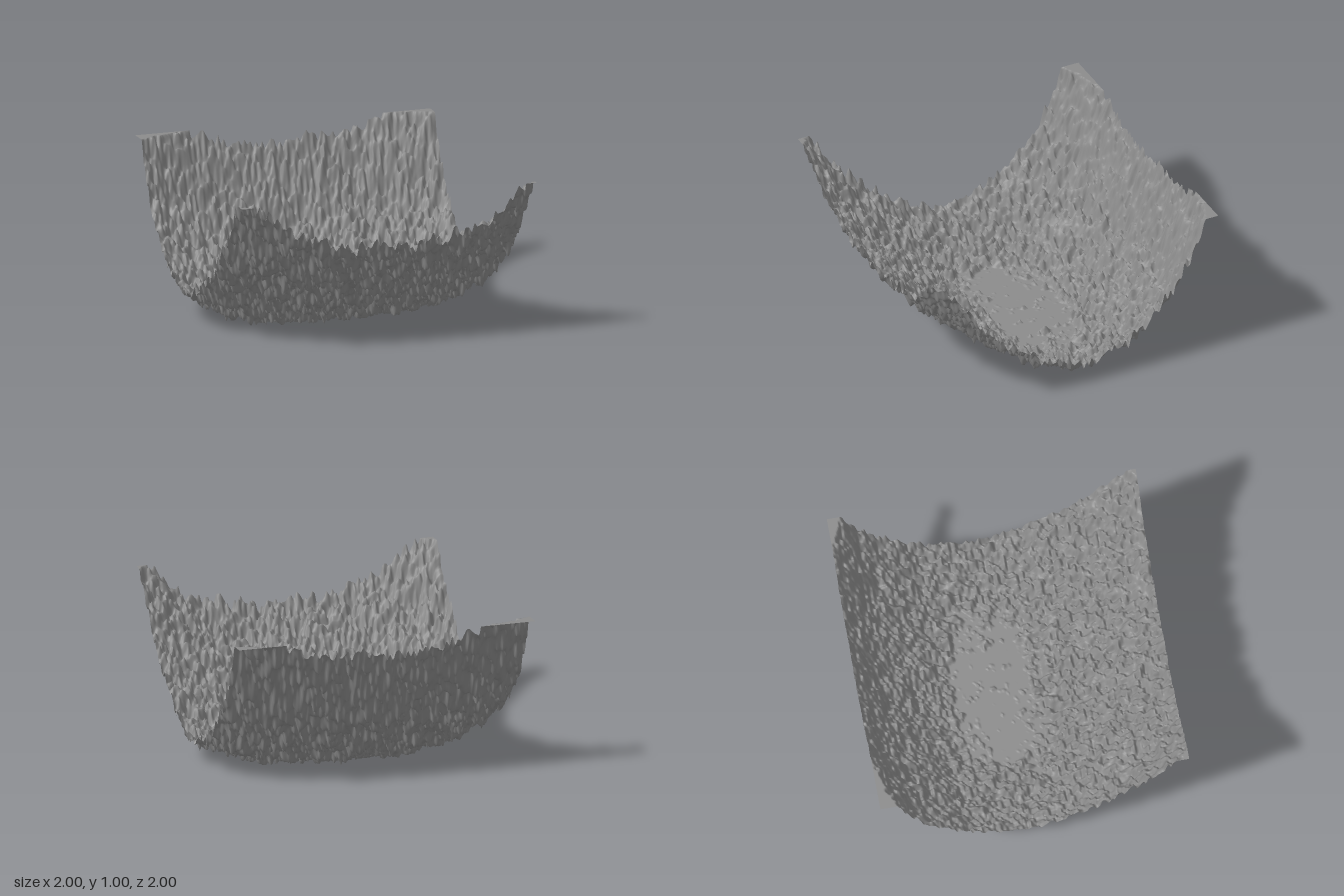
import * as THREE from 'three';

// Valley cross-section sampled every 0.2 from the back (z = -1) to the front (z = 1)
const VALLEY = [0.87, 0.43, 0.18, 0.03, -0.03, -0.035, 0.01, 0.14, 0.28, 0.46, 0.66];

// Repeatable hash of a lattice point, in -1..1
function hash(i, j, seed) {
  let n = Math.imul(i, 374761393) + Math.imul(j, 668265263) + Math.imul(seed, 974634757);
  n = Math.imul(n ^ (n >>> 13), 1274126177);
  n = Math.imul(n ^ (n >>> 16), 2246822519);
  return ((n ^ (n >>> 15)) >>> 0) / 2147483648 - 1;
}

// Smooth value noise with the given cell size
function noise(x, z, cell, seed) {
  const u = x / cell, v = z / cell;
  const i = Math.floor(u), j = Math.floor(v);
  const s = THREE.MathUtils.smoothstep(u - i, 0, 1);
  const t = THREE.MathUtils.smoothstep(v - j, 0, 1);
  const { lerp } = THREE.MathUtils;
  return lerp(
    lerp(hash(i, j, seed), hash(i + 1, j, seed), s),
    lerp(hash(i, j + 1, seed), hash(i + 1, j + 1, seed), s), t);
}

// Smooth interpolation through the valley samples
function valley(z) {
  const p = (z + 1) * 5;
  const i = Math.min(Math.floor(p), 9), t = p - i;
  const at = k => k < 0 ? 2 * VALLEY[0] - VALLEY[1] : k > 10 ? 2 * VALLEY[10] - VALLEY[9] : VALLEY[k];
  const a = at(i - 1), b = at(i), c = at(i + 1), d = at(i + 2);
  return b + 0.5 * t * (c - a + t * (2 * a - 5 * b + 4 * c - d + t * (3 * (b - c) + d - a)));
}

// Valley, rising sides and rough relief, cut flat at the floor and at the rim
function height(x, z) {
  const sides = (0.22 + 0.18 * z * z) * Math.abs(x - 0.02) ** 2.6;
  const relief = 0.015 * noise(x, z, 0.27, 1) + 0.02 * noise(x, z, 0.11, 2)
    + 0.035 * noise(x, z, 0.045, 3) + 0.04 * noise(x, z, 0.02, 4);
  return THREE.MathUtils.clamp(valley(z) + sides + relief, 0, 1);
}

export function createModel() {
  const group = new THREE.Group();
  group.name = 'terrain';

  // One open sheet displaced by the height rule
  const geometry = new THREE.PlaneGeometry(2, 2, 256, 256).rotateX(-Math.PI / 2);
  const pos = geometry.attributes.position;
  for (let k = 0; k < pos.count; k++) pos.setY(k, height(pos.getX(k), pos.getZ(k)));
  geometry.computeVertexNormals();

  const surface = new THREE.Mesh(geometry,
    new THREE.MeshStandardMaterial({ color: 0x8c8c8c, side: THREE.DoubleSide }));
  surface.name = 'terrainSurface';
  group.add(surface);
  return group;
}
